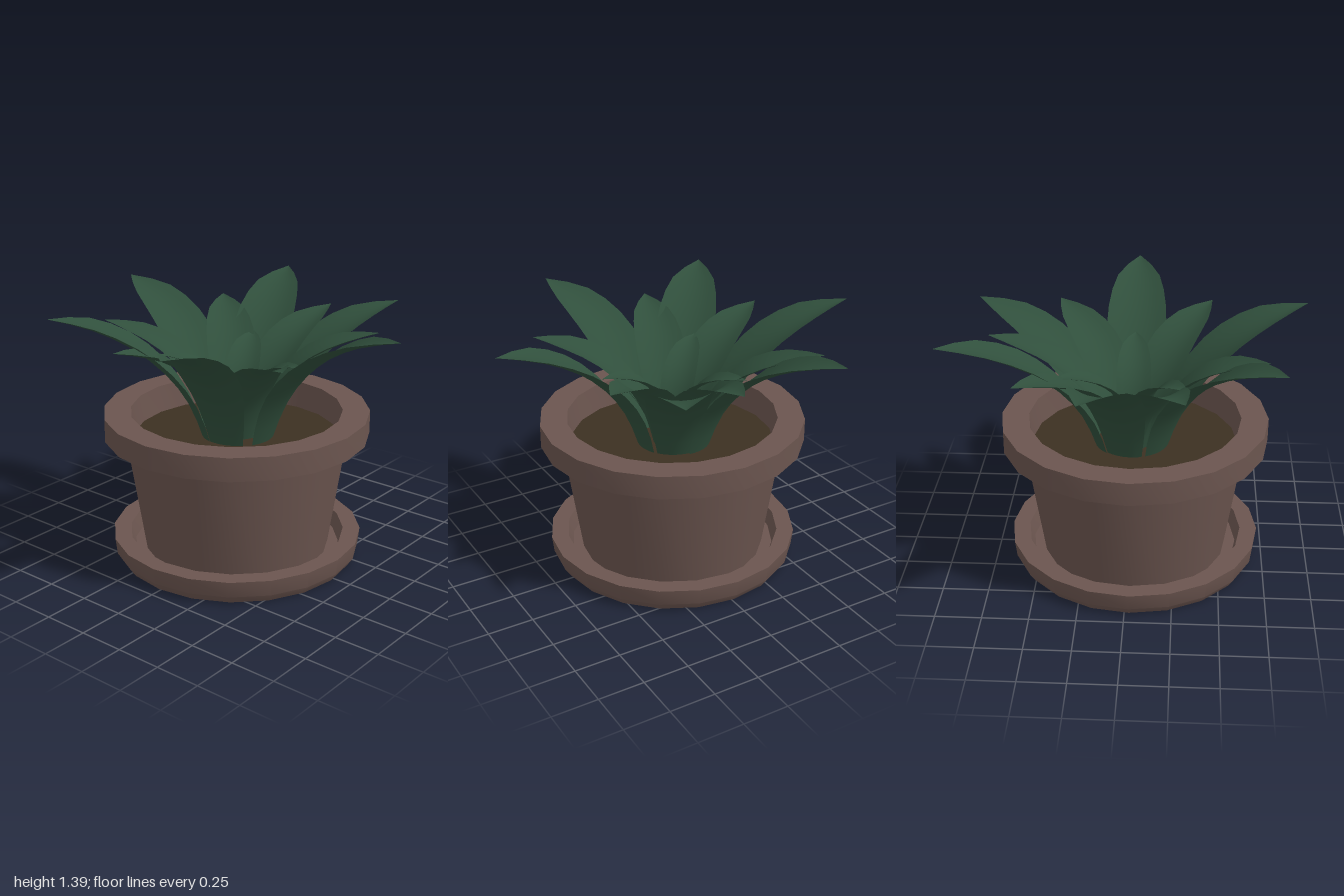
import * as THREE from 'three';
import { toCreasedNormals } from 'three/addons/utils/BufferGeometryUtils.js';

const clay = new THREE.MeshStandardMaterial({ color: 0x6b554f });
clay.name = 'clay';
const soilMat = new THREE.MeshStandardMaterial({ color: 0x3c3022 });
soilMat.name = 'soil';
const leafMat = new THREE.MeshStandardMaterial({ color: 0x304f3c, side: THREE.DoubleSide });
leafMat.name = 'leaf green';

const CX = -0.012, CZ = 0.025; // pot axis
const SOIL = 0.69;

// Turned part with sharp profile corners and smooth sides
function turned(name, profile, material) {
  const points = profile.map(([r, y]) => new THREE.Vector2(r, y));
  const geometry = toCreasedNormals(new THREE.LatheGeometry(points, 20), 0.5);
  const mesh = new THREE.Mesh(geometry, material);
  mesh.name = name;
  mesh.position.set(CX, 0, CZ);
  return mesh;
}

// Relative half width along a leaf, from root to pointed tip
const WIDTHS = [0.55, 0.66, 0.77, 0.88, 0.97, 1, 0.97, 0.88, 0.72, 0.4, 0];
const ACROSS = 6;

// Leaf arching outward along +x, gently cupped upward
function leafGeometry(profile, halfWidth, cup) {
  const spine = new THREE.CatmullRomCurve3(profile.map(([r, y]) => new THREE.Vector3(r, y, 0)));
  const positions = [], index = [];
  const rows = WIDTHS.length - 1;
  for (let i = 0; i <= rows; i++) {
    const p = spine.getPointAt(i / rows);
    const t = spine.getTangentAt(i / rows);
    for (let j = 0; j <= ACROSS; j++) {
      const u = (j / ACROSS) * 2 - 1;
      const lift = cup * WIDTHS[i] * u * u;
      positions.push(p.x - t.y * lift, p.y + t.x * lift, u * WIDTHS[i] * halfWidth);
      if (i < rows && j < ACROSS) {
        const a = i * (ACROSS + 1) + j, b = a + ACROSS + 1;
        index.push(a, a + 1, b);
        if (i < rows - 1) index.push(b, a + 1, b + 1);
      }
    }
  }
  const geometry = new THREE.BufferGeometry();
  geometry.setAttribute('position', new THREE.Float32BufferAttribute(positions, 3));
  geometry.setIndex(index);
  geometry.computeVertexNormals();
  return geometry;
}

// Three whorls; each tip is [x, z, optional height scale]
const WHORLS = [
  {
    name: 'outerLeaf', reach: 1, halfWidth: 0.168, cup: 0.04,
    profile: [[0.19, 0.67], [0.25, 0.84], [0.33, 0.98], [0.45, 1.12], [0.6, 1.24], [0.8, 1.34], [1, 1.395]],
    tips: [[1, 0.01], [0.44, -0.87, 0.92], [-0.41, -0.97], [-1, -0.2], [-0.65, 0.79], [0.29, 0.95]],
  },
  {
    name: 'middleLeaf', reach: 0.77, halfWidth: 0.138, cup: 0.035,
    profile: [[0.1, 0.67], [0.15, 0.84], [0.25, 1], [0.42, 1.15], [0.6, 1.23], [0.77, 1.275]],
    tips: [[0.05, -0.77], [0.6, -0.43], [0.61, 0.44], [-0.24, 0.73], [-0.73, 0.3], [-0.59, -0.56]],
  },
  {
    name: 'innerLeaf', reach: 0.43, halfWidth: 0.095, cup: 0.025,
    profile: [[0.03, 0.67], [0.05, 0.84], [0.11, 0.99], [0.22, 1.09], [0.33, 1.135], [0.43, 1.15]],
    tips: [[0.42, 0.01], [-0.22, -0.39], [-0.33, 0.31]],
  },
];

export function createModel() {
  const model = new THREE.Group();
  model.name = 'pottedPlant';

  // Saucer with a shallow well
  model.add(turned('saucer', [
    [0, 0], [0.655, 0], [0.685, 0.045], [0.695, 0.135], [0.6, 0.135], [0.575, 0.05], [0, 0.05],
  ], clay));

  // Tapered pot with a broad rim
  model.add(turned('pot', [
    [0, 0.055], [0.515, 0.055], [0.613, 0.712], [0.728, 0.712], [0.728, 0.84],
    [0.58, 0.84], [0.56, SOIL - 0.02],
  ], clay));

  // Soil
  const soil = new THREE.Mesh(new THREE.CircleGeometry(0.567, 20), soilMat);
  soil.name = 'soil';
  soil.rotation.x = -Math.PI / 2;
  soil.position.set(CX, SOIL, CZ);
  model.add(soil);

  // Leaves
  const leaves = new THREE.Group();
  leaves.name = 'leaves';
  for (const { name, reach, halfWidth, cup, profile, tips } of WHORLS) {
    const geometry = leafGeometry(profile, halfWidth, cup);
    for (const [x, z, height = 1] of tips) {
      const dx = x - CX, dz = z - 0.015;
      const leaf = new THREE.Mesh(geometry, leafMat);
      leaf.name = name;
      leaf.position.set(CX, SOIL * (1 - height), 0.015);
      leaf.rotation.y = Math.atan2(-dz, dx);
      leaf.scale.set(Math.hypot(dx, dz) / reach, height, 1);
      leaves.add(leaf);
    }
  }
  model.add(leaves);
  return model;
}
